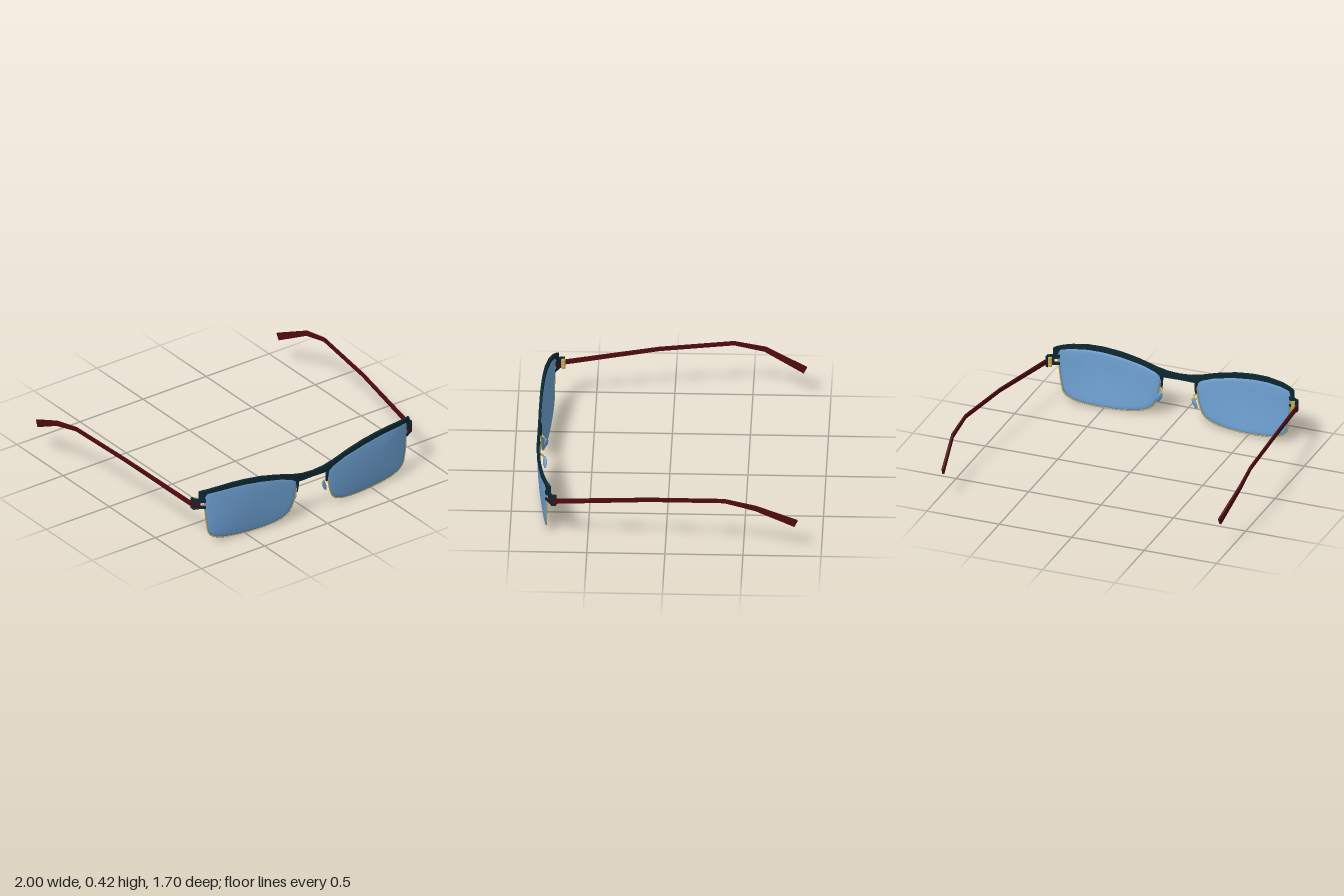
import * as THREE from 'three';
import { mergeVertices } from 'three/addons/utils/BufferGeometryUtils.js';

const mat = (name, color) => {
  const m = new THREE.MeshStandardMaterial({ color });
  m.name = name;
  return m;
};

// piecewise linear lookup in [x, value] pairs
function lookup(table, x) {
  if (x <= table[0][0]) return table[0][1];
  for (let i = 1; i < table.length; i++) {
    const [x0, v0] = table[i - 1], [x1, v1] = table[i];
    if (x <= x1) return v0 + (v1 - v0) * (x - x0) / (x1 - x0);
  }
  return table[table.length - 1][1];
}

// wrap curve of the brow seen from above, and the lens surface below it
const WRAP = [[0, 0.842], [0.2, 0.841], [0.35, 0.837], [0.5, 0.828], [0.62, 0.815], [0.72, 0.796], [0.79, 0.772], [0.83, 0.748], [0.87, 0.73]];
const wrap = x => lookup(WRAP, Math.abs(x));
function lensZ(x, y) {
  const t = THREE.MathUtils.clamp(y / 0.36, 0, 1);
  const low = 0.82 - 0.0917 * (x - 0.15);
  return THREE.MathUtils.lerp(low, wrap(x) - 0.004, 1 - (1 - t) * (1 - t));
}

// lens outline, counterclockwise from the bottom
const OUTLINE = [[0.45, 0.004], [0.6, 0.012], [0.7, 0.03], [0.765, 0.07], [0.785, 0.14], [0.798, 0.25], [0.808, 0.36], [0.795, 0.383],
  [0.7, 0.392], [0.6, 0.394], [0.4, 0.373], [0.25, 0.34], [0.14, 0.295], [0.122, 0.27], [0.127, 0.2], [0.145, 0.12], [0.175, 0.06], [0.23, 0.028], [0.32, 0.01]];

function lensGeometry() {
  const n = 80;
  const curve = new THREE.CatmullRomCurve3(OUTLINE.map(p => new THREE.Vector3(p[0], p[1], 0)), true);
  const edge = curve.getPoints(n);
  const profile = [[0, -0.012], [0.3, -0.012], [0.6, -0.012], [0.85, -0.011], [0.95, -0.008], [1, -0.002],
    [0.96, 0.003], [0.88, 0.006], [0.6, 0.007], [0.3, 0.007], [0, 0.007]].map(p => new THREE.Vector2(...p));
  const g = new THREE.LatheGeometry(profile, n);
  const pos = g.attributes.position;
  for (let i = 0; i < pos.count; i++) {
    const p = profile[i % profile.length], o = edge[Math.floor(i / profile.length)];
    const x = 0.46 + (o.x - 0.46) * p.x, y = 0.2 + (o.y - 0.2) * p.x;
    pos.setXYZ(i, x, y, lensZ(x, y) + p.y);
  }
  g.deleteAttribute('uv');
  g.deleteAttribute('normal');
  const merged = mergeVertices(g, 1e-5);
  merged.computeVertexNormals();
  return merged;
}

// rectangular bar along a path of [x, y, z, halfWidth, halfHeight]
function bar(path) {
  const n = path.length - 1;
  const pts = path.map(p => new THREE.Vector3(p[0], p[1], p[2]));
  const g = new THREE.BoxGeometry(2, 2, n, 1, 1, n);
  const pos = g.attributes.position;
  for (let i = 0; i < pos.count; i++) {
    const k = Math.round(pos.getZ(i) + n / 2);
    const t = pts[Math.min(k + 1, n)].clone().sub(pts[Math.max(k - 1, 0)]).normalize();
    const side = new THREE.Vector3(0, 1, 0).cross(t).normalize();
    const up = t.clone().cross(side);
    const v = pts[k].clone().addScaledVector(side, pos.getX(i) * path[k][3]).addScaledVector(up, pos.getY(i) * path[k][4]);
    pos.setXYZ(i, v.x, v.y, v.z);
  }
  g.computeVertexNormals();
  return g;
}

// brow bar: a box bent along the wrap, with top and bottom edges by rule
function browGeometry() {
  const top = [[0, 0.315], [0.08, 0.32], [0.16, 0.338], [0.28, 0.375], [0.4, 0.402], [0.52, 0.417], [0.62, 0.421], [0.74, 0.412], [0.815, 0.398], [0.83, 0.392]];
  const bottom = [[0, 0.276], [0.1, 0.274], [0.13, 0.277], [0.16, 0.3], [0.25, 0.335], [0.4, 0.367], [0.52, 0.383], [0.62, 0.388], [0.74, 0.383], [0.795, 0.375], [0.812, 0.33], [0.83, 0.32]];
  const g = new THREE.BoxGeometry(1.66, 1, 1, 84, 1, 1);
  const pos = g.attributes.position;
  for (let i = 0; i < pos.count; i++) {
    const x = pos.getX(i), a = Math.abs(x);
    const y = lookup(pos.getY(i) > 0 ? top : bottom, a);
    pos.setXYZ(i, x, y, wrap(x) + (pos.getZ(i) > 0 ? 0.005 : -0.012));
  }
  g.computeVertexNormals();
  return g;
}

function mirrored(geometry) {
  const g = geometry.clone().scale(-1, 1, 1);
  const ix = g.index;
  for (let i = 0; i < ix.count; i += 3) {
    const b = ix.getX(i + 1);
    ix.setX(i + 1, ix.getX(i + 2));
    ix.setX(i + 2, b);
  }
  g.computeVertexNormals();
  return g;
}

export function createModel() {
  const model = new THREE.Group();
  model.name = 'eyeglasses';
  const frame = mat('dark teal frame', 0x0c2631);
  const red = mat('dark red temple', 0x4f0b0f);
  const blue = mat('blue lens', 0x6c9fd0);
  const gold = mat('gold metal', 0xbfa94f);

  const add = (name, g, m) => {
    const mesh = new THREE.Mesh(g, m);
    mesh.name = name;
    model.add(mesh);
  };
  const pair = (name, g, m) => {
    add('left' + name, g, m);
    add('right' + name, mirrored(g), m);
  };

  add('browBar', browGeometry(), frame);
  pair('Lens', lensGeometry(), blue);

  // thin metal rim around the lower part of each lens
  const rimPoints = [...OUTLINE.slice(13), ...OUTLINE.slice(0, 7)].map(p => new THREE.Vector3(p[0], p[1], lensZ(p[0], p[1]) - 0.002));
  pair('LowerRim', new THREE.TubeGeometry(new THREE.CatmullRomCurve3(rimPoints), 70, 0.0042, 6), gold);

  // short arm from the bridge down the inner edge of the lens
  pair('InnerArm', bar([[0.122, 0.29, 0.836, 0.008, 0.014], [0.117, 0.245, 0.834, 0.007, 0.008], [0.119, 0.195, 0.828, 0.005, 0.005]]), frame);

  // nose pad and its wire
  const wire = new THREE.CatmullRomCurve3([new THREE.Vector3(0.12, 0.2, 0.826), new THREE.Vector3(0.112, 0.192, 0.812), new THREE.Vector3(0.118, 0.165, 0.8)]);
  pair('PadWire', new THREE.TubeGeometry(wire, 12, 0.006, 6), gold);
  const pad = new THREE.SphereGeometry(1, 16, 12).scale(0.009, 0.038, 0.02);
  pad.rotateY(-1.0).rotateZ(0.42).translate(0.123, 0.146, 0.796);
  pair('NosePad', pad, blue);

  // end piece: two prongs wrapping back to the hinge
  for (const [name, y, h] of [['UpperProng', 0.327, 0.014], ['LowerProng', 0.278, 0.009]]) {
    pair(name, bar([[0.795, y, 0.766, 0.008, h], [0.83, y, 0.745, 0.008, h], [0.858, y, 0.73, 0.008, h], [0.862, y, 0.7, 0.007, h]]), frame);
  }
  pair('HingePlate', new THREE.BoxGeometry(0.012, 0.078, 0.032).translate(0.86, 0.304, 0.718), frame);
  for (const y of [0.281, 0.303, 0.325]) {
    pair('HingeBarrel', new THREE.CylinderGeometry(0.014, 0.014, 0.017, 16).translate(0.84, y, 0.709), gold);
  }

  // temple arm with a drooping, flared tip
  pair('Temple', bar([[0.825, 0.298, 0.75, 0.006, 0.012], [0.855, 0.299, 0.734, 0.007, 0.014], [0.868, 0.301, 0.7, 0.007, 0.015],
    [0.94, 0.366, 0.1, 0.006, 0.013], [0.984, 0.392, -0.38, 0.006, 0.013],
    [0.992, 0.346, -0.58, 0.007, 0.016], [0.955, 0.216, -0.838, 0.007, 0.024]]), red);

  return model;
}
